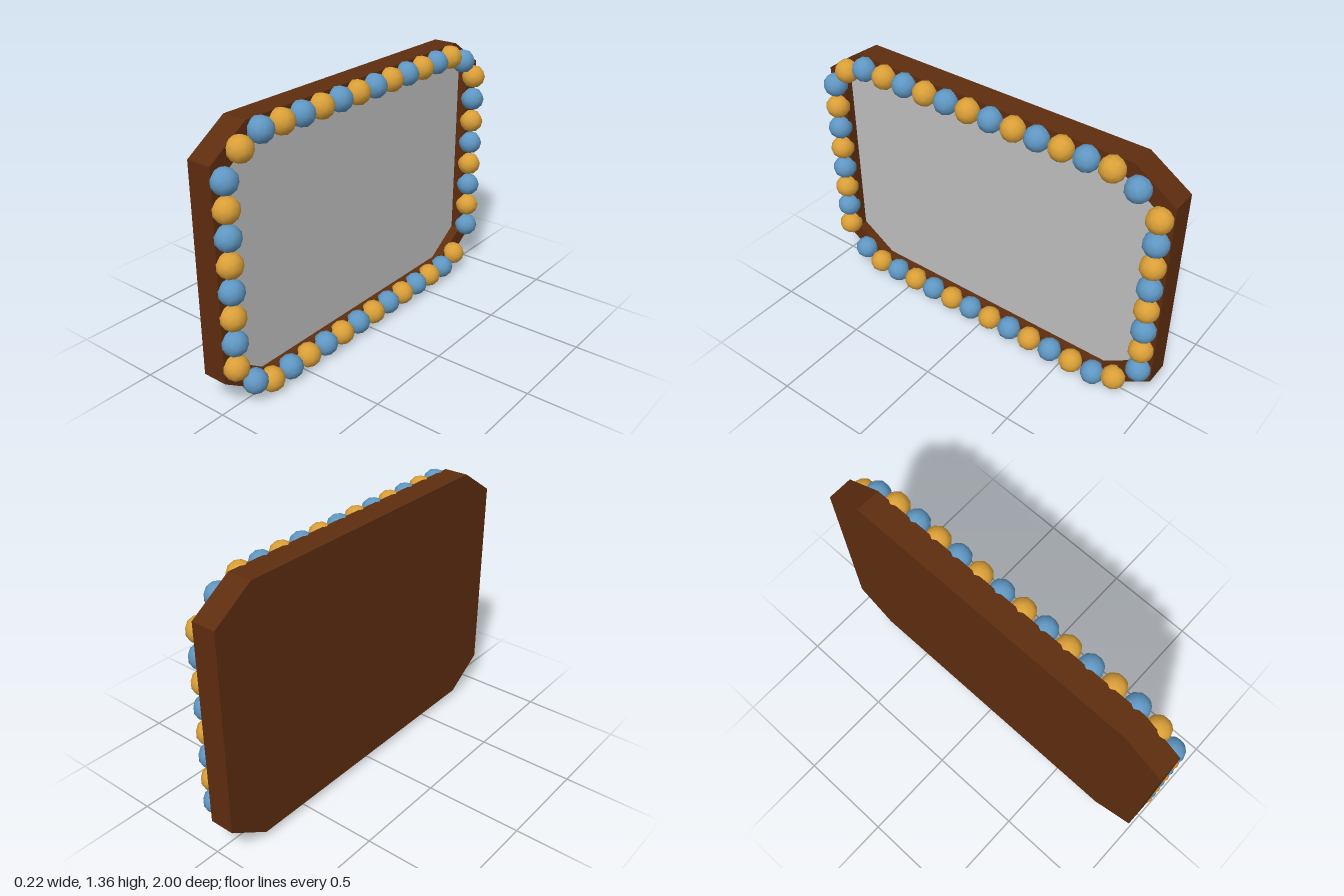
import * as THREE from 'three';

const frameBrown = new THREE.MeshStandardMaterial({ name: 'frameBrown', color: 0x5e2d0f });
const glassGrey = new THREE.MeshStandardMaterial({ name: 'glassGrey', color: 0xbebebe });
const beadBlue = new THREE.MeshStandardMaterial({ name: 'beadBlue', color: 0x6098c4 });
const beadGold = new THREE.MeshStandardMaterial({ name: 'beadGold', color: 0xdba038 });

const MID_Y = 0.695, MID_Z = -0.003;
const OPENING = 0.91; // opening size relative to the outline

// Corner points of the octagonal outline, scaled about its middle
function outline(s) {
  const w = 0.993 * s, h = 0.66 * s, cw = 0.78 * s, ch = 0.52 * s;
  return [[-cw, -h], [cw, -h], [w, -ch], [w, ch], [cw, h], [-cw, h], [-w, ch], [-w, -ch]]
    .map(([x, y]) => new THREE.Vector2(x, y));
}

// Slab with its face towards +x, from x0 to x1
function slab(name, shape, x0, x1, material) {
  const geo = new THREE.ExtrudeGeometry(shape, { depth: x1 - x0, bevelEnabled: false });
  geo.rotateY(Math.PI / 2);
  geo.translate(x0, MID_Y, MID_Z);
  const mesh = new THREE.Mesh(geo, material);
  mesh.name = name;
  return mesh;
}

export function createModel() {
  const model = new THREE.Group();
  model.name = 'beadedMirror';

  // Solid back, raised rim and recessed glass
  const rim = new THREE.Shape(outline(1));
  rim.holes.push(new THREE.Path(outline(OPENING)));
  model.add(
    slab('backBoard', new THREE.Shape(outline(1)), -0.108, -0.035, frameBrown),
    slab('frameRim', rim, -0.035, 0.022, frameBrown),
    slab('mirrorGlass', new THREE.Shape(outline(OPENING)), -0.035, -0.031, glassGrey)
  );

  // Faceted beads around the rim, alternating in colour
  const beads = new THREE.Group();
  beads.name = 'beads';
  model.add(beads);
  const beadGeo = new THREE.IcosahedronGeometry(0.063, 1);
  const addBead = (z, y, gold) => {
    const bead = new THREE.Mesh(beadGeo, gold ? beadGold : beadBlue);
    bead.name = gold ? 'goldBead' : 'blueBead';
    bead.position.set(0.046, y, z);
    beads.add(bead);
  };

  // Top and bottom rows
  for (let i = 0; i < 12; i++) {
    const z = 0.719 - i * 0.1285;
    addBead(z, 1.303, i % 2 === 1);
    addBead(z, 0.067, i % 2 === 0);
  }
  // Side columns
  for (let i = 0; i < 8; i++) {
    const y = 1.143 - i * 0.128;
    addBead(0.938, y, i % 2 === 1);
    addBead(-0.937, y, i % 2 === 0);
  }
  // Corners
  addBead(0.842, 1.254, true);
  addBead(-0.823, 1.254, false);
  addBead(0.828, 0.116, false);
  addBead(-0.813, 0.108, true);

  return model;
}
